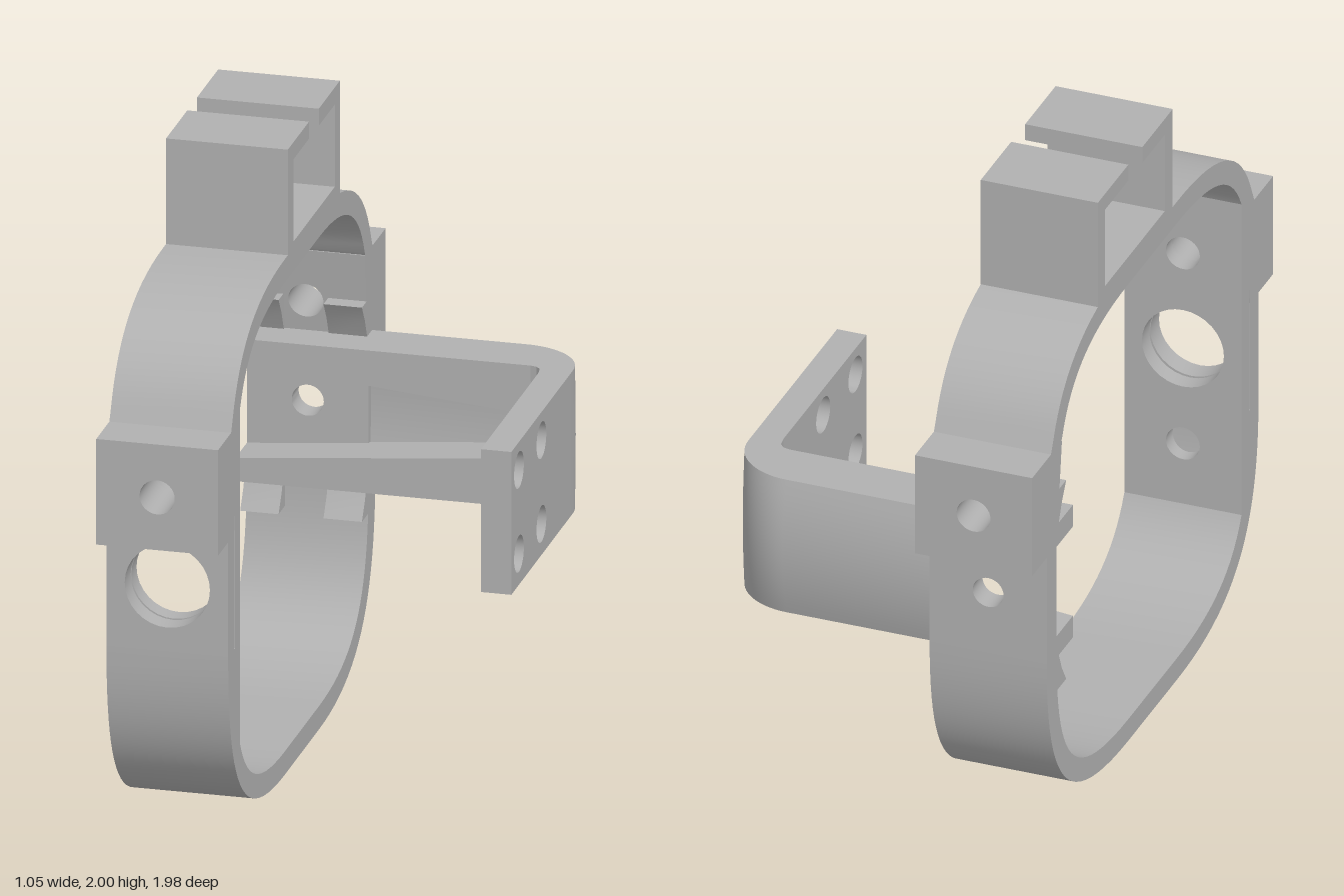
import * as THREE from 'three';
import { toCreasedNormals } from 'three/addons/utils/BufferGeometryUtils.js';

const grey = new THREE.MeshStandardMaterial({ color: 0xb0b0b0 });
grey.name = 'grey plastic';

const X0 = -0.53, X1 = -0.15, XC = -0.34; // band edges and centre line
const V = (x, y) => new THREE.Vector2(x, y);
const rect = (a, b, c, d) => [[a, c], [b, c], [b, d], [a, d]];

// Extrude an outline with round holes [x, y, radius] along local z
function prism(points, depth, holes = [], steps = 1) {
  const shape = new THREE.Shape(points.map((p) => (p.isVector2 ? p : V(p[0], p[1]))));
  for (const [x, y, r] of holes) {
    const path = new THREE.Path();
    path.absarc(x, y, r, 0, Math.PI * 2, true);
    shape.holes.push(path);
  }
  return new THREE.ExtrudeGeometry(shape, { depth, steps, bevelEnabled: false, curveSegments: 16 });
}
// Outline in (-z, y), swept from x = a to b
const alongX = (pts, a, b, holes) => prism(pts, b - a, holes).rotateY(Math.PI / 2).translate(a, 0, 0);
// Outline in (x, -z), swept from y = a to b
const alongY = (pts, a, b, steps) => prism(pts, b - a, [], steps).rotateX(-Math.PI / 2).translate(0, a, 0);
// Outline in (x, y), swept from z = a to b
const alongZ = (pts, a, b, holes) => prism(pts, b - a, holes).translate(0, 0, a);

// Corner curve of the band, from the side wall to the middle run
const bend = (a, b, c, d) => new THREE.CubicBezierCurve(V(...a), V(...b), V(...c), V(...d)).getPoints(22);
const mirror = (pts) => pts.map((p) => V(-p.x, p.y)).reverse();

export function createModel() {
  const model = new THREE.Group();
  const add = (name, geometry) => {
    const mesh = new THREE.Mesh(toCreasedNormals(geometry, 0.5), grey);
    mesh.name = name;
    model.add(mesh);
  };

  // Rounded band: lower and upper arcs
  const lowOut = bend([0.87, 0.62], [0.87, 0.22], [0.72, 0], [0.2, 0]);
  const lowIn = bend([0.79, 0.62], [0.79, 0.24], [0.66, 0.075], [0.2, 0.075]);
  add('lowerBand', alongX([...lowOut, ...mirror(lowOut), ...lowIn.map((p) => V(-p.x, p.y)), ...[...lowIn].reverse()], X0, X1));

  const above = (pts, z) => [V(z, 1.33), ...pts.filter((p) => p.y > 1.335)];
  const upOut = above(bend([0.87, 1.04], [0.87, 1.44], [0.72, 1.66], [0.2, 1.66]), 0.835);
  const upIn = above(bend([0.79, 1.04], [0.79, 1.42], [0.66, 1.585], [0.2, 1.585]), 0.75);
  add('upperBand', alongX([...upOut, ...mirror(upOut), ...upIn.map((p) => V(-p.x, p.y)), ...[...upIn].reverse()], X0, X1));

  // Straight side walls with their bores
  add('frontWall', alongZ(rect(X0, X1, 0.62, 0.99), 0.8, 0.87, [[XC, 0.83, 0.133]]));
  add('backWall', alongZ(rect(X0, X1, 0.62, 0.99), -0.87, -0.79, [[XC, 0.83, 0.05]]));

  // Inner pad, set off from the front wall by a fine slit
  add('frontPad', alongZ(rect(X0, X1, 0.27, 1.4), 0.73, 0.79,
    [[XC, 1.16, 0.055], [XC, 0.83, 0.133], [XC, 0.5, 0.055]]));

  // Bolt blocks; the inner face leans in to follow the band
  for (const side of [1, -1]) {
    const z0 = side > 0 ? 0.8 : -0.99, z1 = side > 0 ? 0.99 : -0.79;
    const block = alongZ(rect(X0, X1, 0.99, 1.33), z0, z1, [[XC, 1.16, 0.055]]);
    const p = block.attributes.position;
    for (let i = 0; i < p.count; i++) {
      const z = p.getZ(i);
      if (Math.abs(z) < 0.9) p.setZ(i, z - side * 0.045 * (p.getY(i) - 0.99) / 0.34);
    }
    add(side > 0 ? 'frontBoltBlock' : 'backBoltBlock', block);
  }

  // Slotted channel on top
  add('topChannel', alongX([[-0.165, 1.62], [0.45, 1.62], [0.45, 2], [0.2, 2], [0.2, 1.945], [0.39, 1.945],
    [0.39, 1.68], [-0.1, 1.68], [-0.1, 1.945], [0.085, 1.945], [0.085, 2], [-0.165, 2]], X0, X1));

  // Pointed lugs on the inside of the back wall
  for (const s of [1, -1]) {
    const y = (d) => 0.83 + s * d;
    const outline = [[0.71, y(0.345)], [0.8, y(0.345)], [0.8, y(0.2)], [0.78, y(0.21)], [0.745, y(0.29)]];
    for (const [a, b] of [[X0, -0.41], [-0.27, X1]]) add('lug', alongX(outline, a, b));
  }

  // Arm: pair of tapering rails joined at the elbow
  add('armRails', alongZ([[X0, 0.6], [0.43, 0.6], [0.43, 1.06], [X0, 1.06], [X0, 0.985],
    [0.39, 0.9], [0.39, 0.76], [X0, 0.675]], -0.8, -0.655));

  // Arm back and elbow, with the outside gently crowned across its height
  const elbow = [[X1, 0.79], [0.39, 0.79], [0.39, 0.655], [0.41, 0.65], [0.425, 0.635], [0.43, 0.6], [0.525, 0.6]];
  for (let i = 0; i <= 16; i++) {
    const a = (i / 16) * Math.PI / 2;
    elbow.push([0.33 + 0.195 * Math.cos(a), 0.65 + 0.18 * Math.sin(a)]);
  }
  elbow.push([X1, 0.83]);
  const back = alongY(elbow, 0.6, 1.06, 12);
  const p = back.attributes.position;
  for (let i = 0; i < p.count; i++) {
    const w = THREE.MathUtils.clamp((-p.getZ(i) - 0.65) / 0.18, 0, 1);
    p.setZ(i, p.getZ(i) - 0.035 * w * (1 - ((p.getY(i) - 0.83) / 0.23) ** 2));
  }
  add('armBack', back);

  // Mounting plate with four holes
  const holes = [];
  for (const u of [0.01, 0.275]) for (const y of [0.7, 0.97]) holes.push([u, y, 0.058]);
  add('mountingPlate', alongX(rect(-0.08, 0.6, 0.6, 1.06), 0.43, 0.525, holes));

  return model;
}
